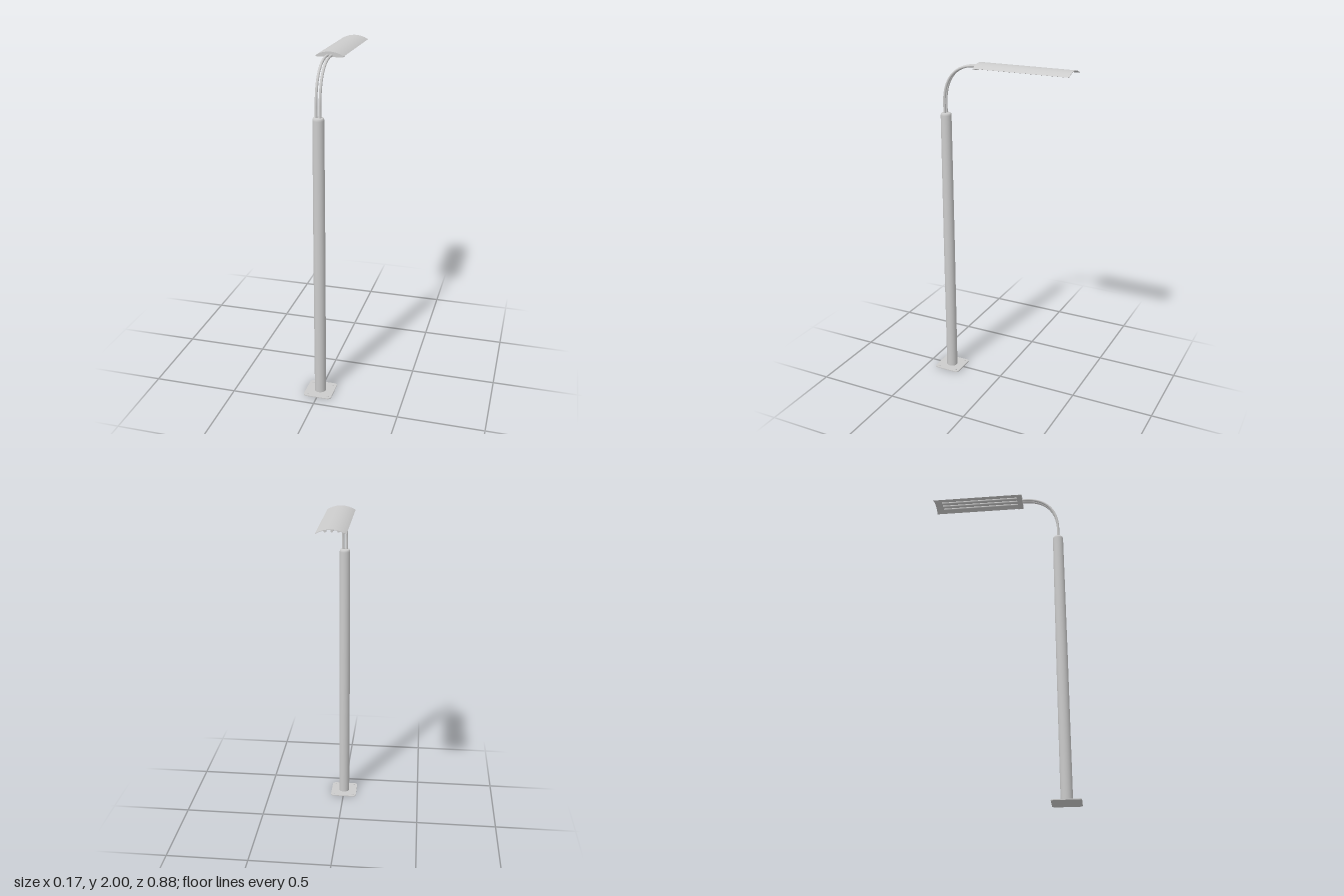
import * as THREE from 'three';

const material = new THREE.MeshStandardMaterial({ color: 0xcccccc, side: THREE.DoubleSide });
const POLE_Z = 0.353;

function part(name, geometry, x = 0, y = 0, z = 0) {
  const mesh = new THREE.Mesh(geometry, material);
  mesh.name = name;
  mesh.position.set(x, y, z);
  return mesh;
}

// Rounded square for the ground plate
function plateShape(h, r) {
  const s = new THREE.Shape();
  s.absarc(h - r, h - r, r, 0, Math.PI / 2);
  s.absarc(r - h, h - r, r, Math.PI / 2, Math.PI);
  s.absarc(r - h, r - h, r, Math.PI, Math.PI * 1.5);
  s.absarc(h - r, r - h, r, Math.PI * 1.5, Math.PI * 2);
  s.closePath();
  return s;
}

// Points of a shallow arch of given half width, from right to left
function arch(half, edgeY, topY, steps = 24) {
  const rise = topY - edgeY;
  const r = (half * half + rise * rise) / (2 * rise);
  const a = Math.asin(half / r);
  return Array.from({ length: steps + 1 }, (_, i) => {
    const t = a - (2 * a * i) / steps;
    return new THREE.Vector2(r * Math.sin(t), topY - r + r * Math.cos(t));
  });
}

const extrude = (shape, depth) =>
  new THREE.ExtrudeGeometry(shape, { depth, bevelEnabled: false, curveSegments: 12 });

export function createModel() {
  const model = new THREE.Group();
  model.name = 'streetLamp';

  // Ground plate with four bolts
  const plate = extrude(plateShape(0.084, 0.02), 0.005);
  plate.rotateX(-Math.PI / 2);
  model.add(part('basePlate', plate, 0, 0, POLE_Z));
  for (const x of [-1, 1]) for (const z of [-1, 1]) {
    model.add(part('bolt', new THREE.CylinderGeometry(0.005, 0.006, 0.004, 12),
      x * 0.062, 0.006, POLE_Z + z * 0.062));
  }

  // Pole with a softened top rim
  const profile = [[0, 0.002], [0.034, 0.002], [0.034, 0.9], [0.033, 1.3], [0.032, 1.675],
    [0.031, 1.684], [0.027, 1.69], [0, 1.691]].map(([x, y]) => new THREE.Vector2(x, y));
  model.add(part('pole', new THREE.LatheGeometry(profile, 32), 0, 0, POLE_Z));

  // Twin bent arms
  for (const x of [-0.011, 0.011]) {
    const path = new THREE.CurvePath();
    const p = (y, z) => new THREE.Vector3(x, y, z);
    path.add(new THREE.LineCurve3(p(1.68, 0.356), p(1.75, 0.356)));
    path.add(new THREE.CubicBezierCurve3(p(1.75, 0.356), p(1.89, 0.356), p(1.978, 0.285), p(1.979, 0.15)));
    path.add(new THREE.LineCurve3(p(1.979, 0.15), p(1.979, 0.11)));
    model.add(part('arm', new THREE.TubeGeometry(path, 48, 0.0075, 12)));
  }

  // Arched lamp cover, open underneath
  const head = new THREE.Group();
  head.name = 'lampHead';
  const cover = new THREE.Shape([...arch(0.08, 1.977, 2), ...arch(0.078, 1.976, 1.997).reverse()]);
  head.add(part('cover', extrude(cover, 0.54), 0, 0, -0.44));

  // Solid block where the arms enter
  const block = new THREE.Shape(arch(0.08, 1.977, 2));
  block.quadraticCurveTo(-0.079, 1.971, -0.07, 1.971);
  block.lineTo(0.07, 1.971);
  block.quadraticCurveTo(0.079, 1.971, 0.08, 1.977);
  head.add(part('endBlock', extrude(block, 0.032), 0, 0, 0.1));

  // Light tubes under the cover
  for (const x of [-0.035, 0, 0.035]) {
    const tube = new THREE.CylinderGeometry(0.007, 0.007, 0.49, 16);
    tube.rotateX(Math.PI / 2);
    head.add(part('lightTube', tube, x, 1.979, -0.145));
  }
  model.add(head);
  return model;
}
